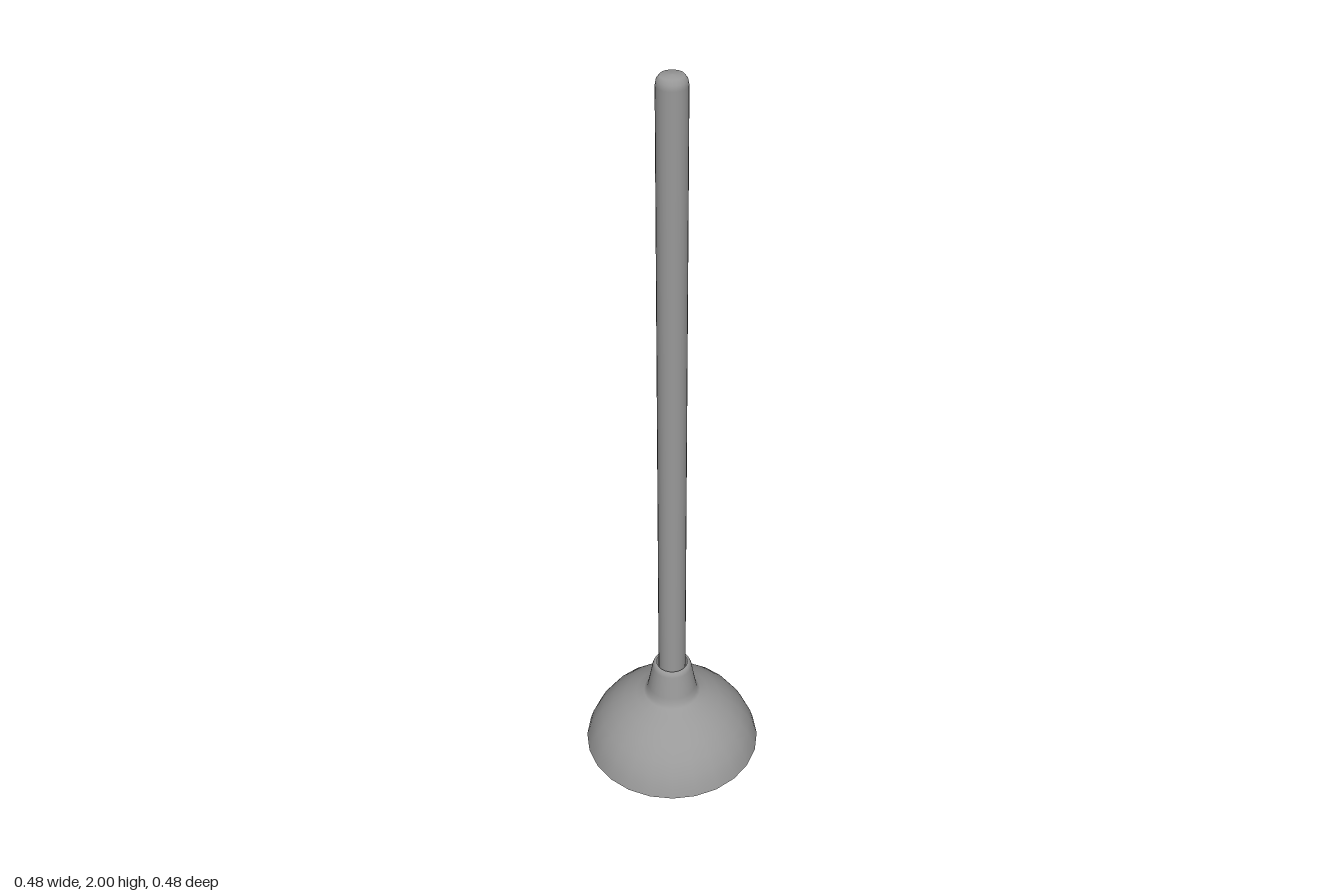
import * as THREE from 'three';

const SIDES = 24;

// Revolves [radius, height] points, listed from bottom to top, about the y axis
function turned(name, points, side = THREE.FrontSide) {
  const profile = points.map(([r, y]) => new THREE.Vector2(r, y));
  const material = new THREE.MeshStandardMaterial({ color: 0x999999, side });
  const mesh = new THREE.Mesh(new THREE.LatheGeometry(profile, SIDES), material);
  mesh.name = name;
  return mesh;
}

export function createModel() {
  const model = new THREE.Group();
  model.name = 'plunger';

  // Hollow rubber cup with its tapered collar, open below and around the handle
  model.add(turned('rubberCup', [
    [0.242, 0], [0.233, 0.03], [0.218, 0.062], [0.197, 0.093],
    [0.168, 0.123], [0.135, 0.148], [0.1, 0.167], [0.078, 0.178],
    [0.07, 0.187], [0.066, 0.205], [0.054, 0.272], [0.051, 0.28],
    [0.047, 0.285], [0.042, 0.285],
  ], THREE.DoubleSide));

  // Straight handle with a rounded top end
  model.add(turned('handle', [
    [0, 0.19], [0.037, 0.19], [0.037, 0.192], [0.037, 1.975],
    [0.035, 1.988], [0.028, 1.998], [0, 2],
  ]));

  return model;
}
